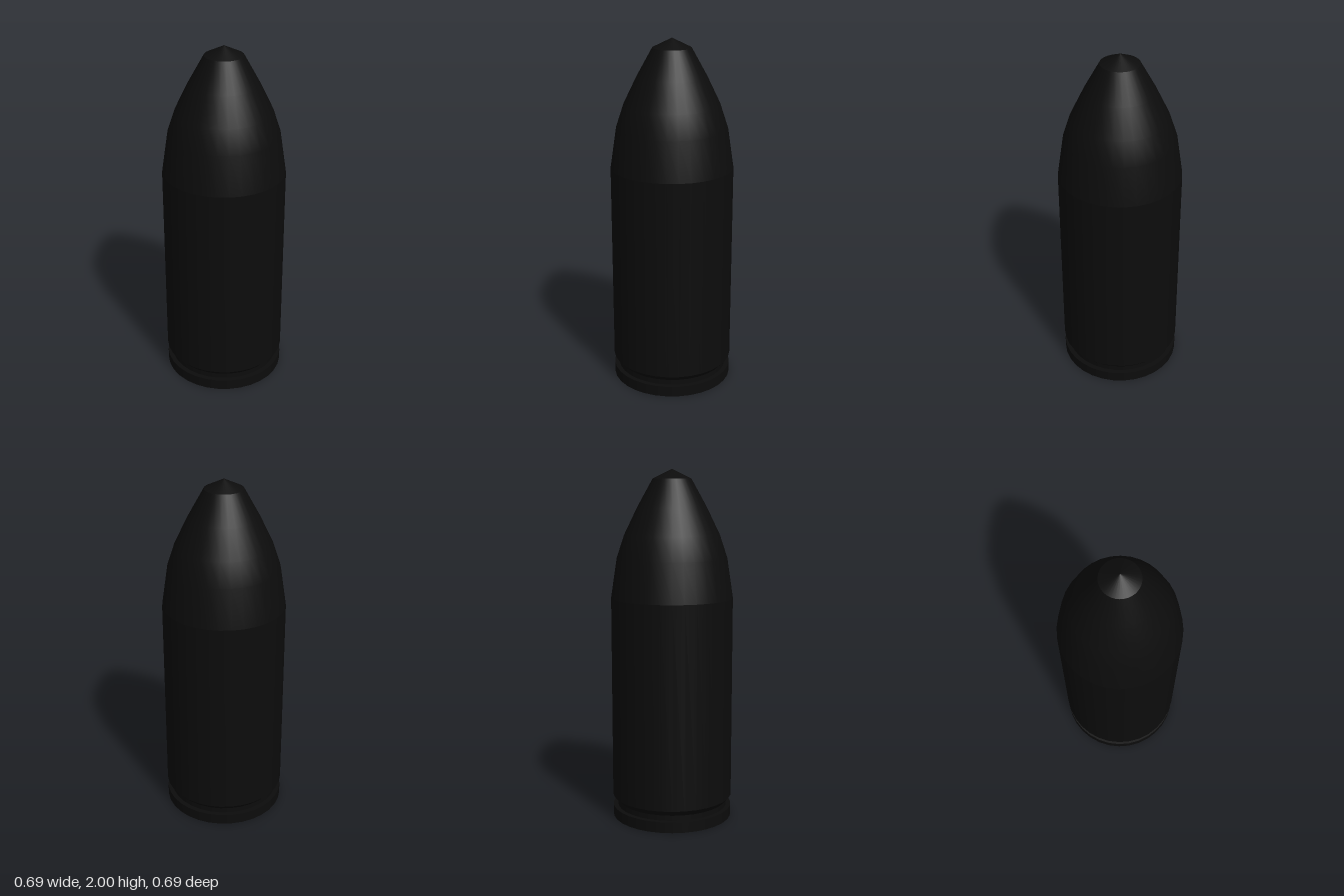
import * as THREE from 'three';

const SIDES = 32;

export function createModel() {
  const model = new THREE.Group();
  const material = new THREE.MeshStandardMaterial({ color: 0x0c0c0c });

  // Each array of [radius, height] points is one smooth band; bands meet in sharp edges.
  const addPart = (name, bands) => {
    const part = new THREE.Group();
    part.name = name;
    for (const band of bands) {
      const points = band.map(([r, y]) => new THREE.Vector2(r, y));
      const mesh = new THREE.Mesh(new THREE.LatheGeometry(points, SIDES), material);
      mesh.name = name + 'Band';
      part.add(mesh);
    }
    model.add(part);
  };

  // Flat bands of a turned part: every profile segment keeps its own hard edges.
  const segments = (profile) => profile.slice(1).map((p, i) => [profile[i], p]);

  // Base with a shallow recess, surrounded by the rim
  addPart('base', segments([[0, 0.015], [0.275, 0.015], [0.285, 0], [0.345, 0]]));
  addPart('rim', segments([[0.345, 0], [0.345, 0.062], [0.318, 0.062]]));

  // Groove with a sloped shoulder up to the casing
  addPart('groove', segments([[0.318, 0.062], [0.318, 0.092], [0.347, 0.125]]));

  // Straight casing
  addPart('casing', [[[0.347, 0.125], [0.347, 1.28]]]);

  // Tapered nose and blunt conical tip
  addPart('nose', [[[0.347, 1.28], [0.313, 1.505], [0.27, 1.635], [0.195, 1.79], [0.108, 1.947]]]);
  addPart('tip', [[[0.108, 1.947], [0, 2]]]);

  return model;
}
